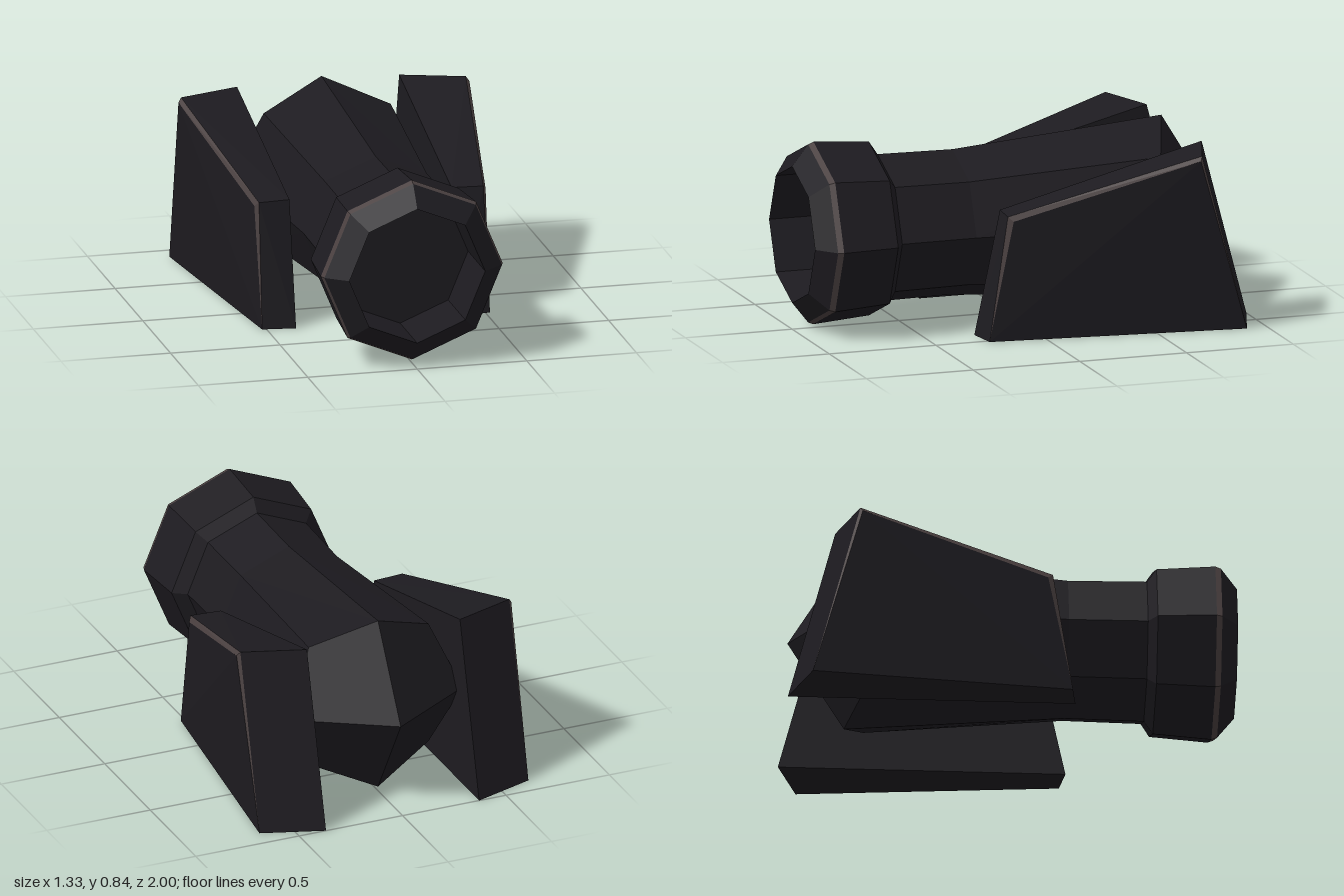
import * as THREE from 'three';

const AXIS_Y = 0.43;
const material = (color) => new THREE.MeshStandardMaterial({ color, flatShading: true });

function mesh(name, geometry, mat) {
  const m = new THREE.Mesh(geometry, mat);
  m.name = name;
  return m;
}

// Eight-sided turned part along z; profile is [radius, z] from back to front
function turned(profile) {
  const points = profile.map(([r, z]) => new THREE.Vector2(r, z));
  return new THREE.LatheGeometry(points, 8).rotateX(Math.PI / 2);
}

// Flat polygons fanned into triangles; side = -1 mirrors across x
function polygons(faces, side) {
  const positions = [];
  for (const face of faces) {
    for (let i = 1; i < face.length - 1; i++) {
      const tri = [face[0], face[i], face[i + 1]];
      if (side < 0) tri.reverse();
      for (const [x, y, z] of tri) positions.push(x * side, y, z);
    }
  }
  const g = new THREE.BufferGeometry();
  g.setAttribute('position', new THREE.Float32BufferAttribute(positions, 3));
  g.computeVertexNormals();
  return g;
}

function createBarrel(dark, trim) {
  const barrel = new THREE.Group();
  barrel.name = 'barrel';
  barrel.position.y = AXIS_Y;

  // Tube flaring to the rear, cut by a four-sided pyramid
  const tube = turned([[0, -0.98], [0.41, -0.73], [0.33, 0.25], [0.335, 0.6]]);
  const p = tube.attributes.position;
  for (let i = 0; i < p.count; i++) {
    if (p.getZ(i) < -0.5) {
      p.setZ(i, -0.98 + 0.61 * (Math.abs(p.getX(i)) + Math.abs(p.getY(i))));
    }
  }
  tube.computeVertexNormals();

  barrel.add(
    mesh('tube', tube, dark),
    mesh('muzzleCollar', turned([[0.335, 0.6], [0.395, 0.64], [0.415, 0.9]]), dark),
    mesh('muzzleTrim', turned([[0.415, 0.9], [0.405, 0.925]]), trim),
    // Sloped lip, bore wall and bore floor
    mesh('muzzleBore', turned([[0.405, 0.925], [0.31, 1], [0.31, 0.69], [0, 0.69]]), dark)
  );
  return barrel;
}

function createSupport(name, side, dark, trim) {
  const support = new THREE.Group();
  support.name = name;

  // Inner corners
  const A = [0.37, 0, 0.275], B = [0.37, 0.56, 0.155];
  const C = [0.37, 0.8, -0.79], D = [0.37, 0, -1];
  // Outer corners, with the upper two split by a narrow bevel
  const a = [0.52, 0, 0.255], d = [0.65, 0, -0.905];
  const b1 = [0.512, 0.56, 0.167], c1 = [0.65, 0.8, -0.695];
  const b = [0.528, 0.54, 0.145], c = [0.664, 0.78, -0.685];

  support.add(
    mesh('sidePlate', polygons([
      [A, B, C, D],
      [a, d, c, b],
      [A, a, b1, B],
      [B, b1, c1, C],
      [C, c1, d, D],
      [A, D, d, a],
    ], side), dark),
    mesh('edgeTrim', polygons([
      [b1, b, c, c1],
      [a, b, b1],
      [d, c1, c],
    ], side), trim)
  );
  return support;
}

export function createModel() {
  const model = new THREE.Group();
  model.name = 'cannon';
  const dark = material(0x1d1b20);
  const trim = material(0x4a4040);
  model.add(
    createBarrel(dark, trim),
    createSupport('leftSupport', 1, dark, trim),
    createSupport('rightSupport', -1, dark, trim)
  );
  return model;
}
